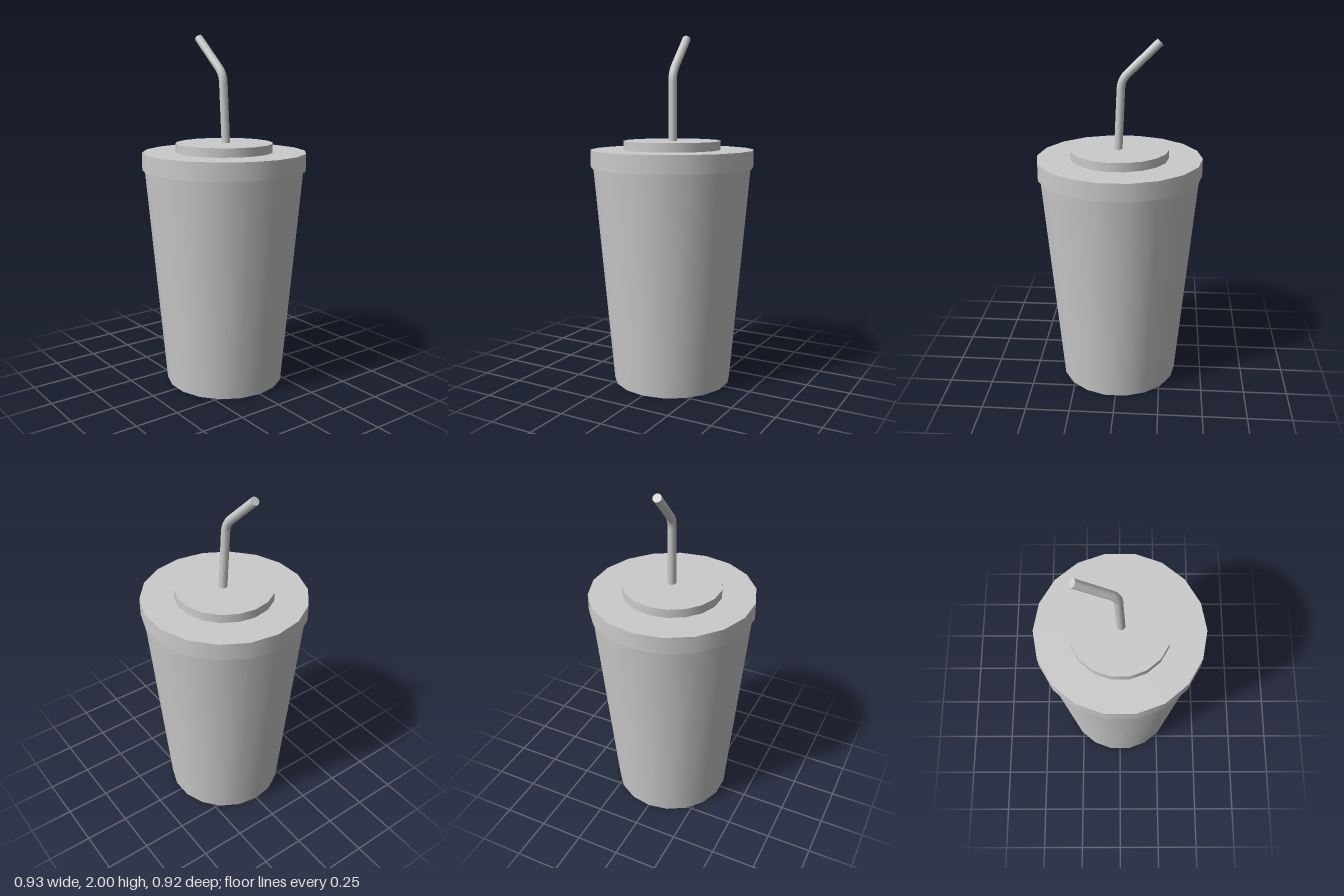
import * as THREE from 'three';

const SIDES = 18;

export function createModel() {
  const group = new THREE.Group();
  const material = new THREE.MeshStandardMaterial({ color: 0xcccccc });

  const add = (name, geometry) => {
    const mesh = new THREE.Mesh(geometry, material);
    mesh.name = name;
    group.add(mesh);
    return mesh;
  };

  // Upright round part between two heights, with a corner on the x axis
  const round = (name, rTop, rBottom, y0, y1) => {
    const g = new THREE.CylinderGeometry(rTop, rBottom, y1 - y0, SIDES);
    g.rotateY(Math.PI / 2).translate(0, (y0 + y1) / 2, 0);
    return add(name, g);
  };

  round('cup', 0.453, 0.34, 0, 1.27);
  round('lidRim', 0.465, 0.465, 1.25, 1.35);
  round('lidCentre', 0.277, 0.277, 1.34, 1.4);

  // Bent straw: two straight runs joined by a short curve
  const base = new THREE.Vector3(0.007, 1.36, -0.007);
  const bendStart = new THREE.Vector3(-0.008, 1.735, 0.001);
  const corner = new THREE.Vector3(-0.01, 1.783, 0.002);
  const bendEnd = new THREE.Vector3(-0.044, 1.816, 0.006);
  const tip = new THREE.Vector3(-0.217, 1.983, 0.023);
  const path = new THREE.CurvePath();
  path.add(new THREE.LineCurve3(base, bendStart));
  path.add(new THREE.QuadraticBezierCurve3(bendStart, corner, bendEnd));
  path.add(new THREE.LineCurve3(bendEnd, tip));
  const radius = 0.024;
  add('straw', new THREE.TubeGeometry(path, 40, radius, 10));

  // Flat end of the straw
  const end = add('strawEnd', new THREE.CircleGeometry(radius, 10));
  end.position.copy(tip);
  end.lookAt(tip.clone().add(tip.clone().sub(bendEnd)));

  return group;
}
